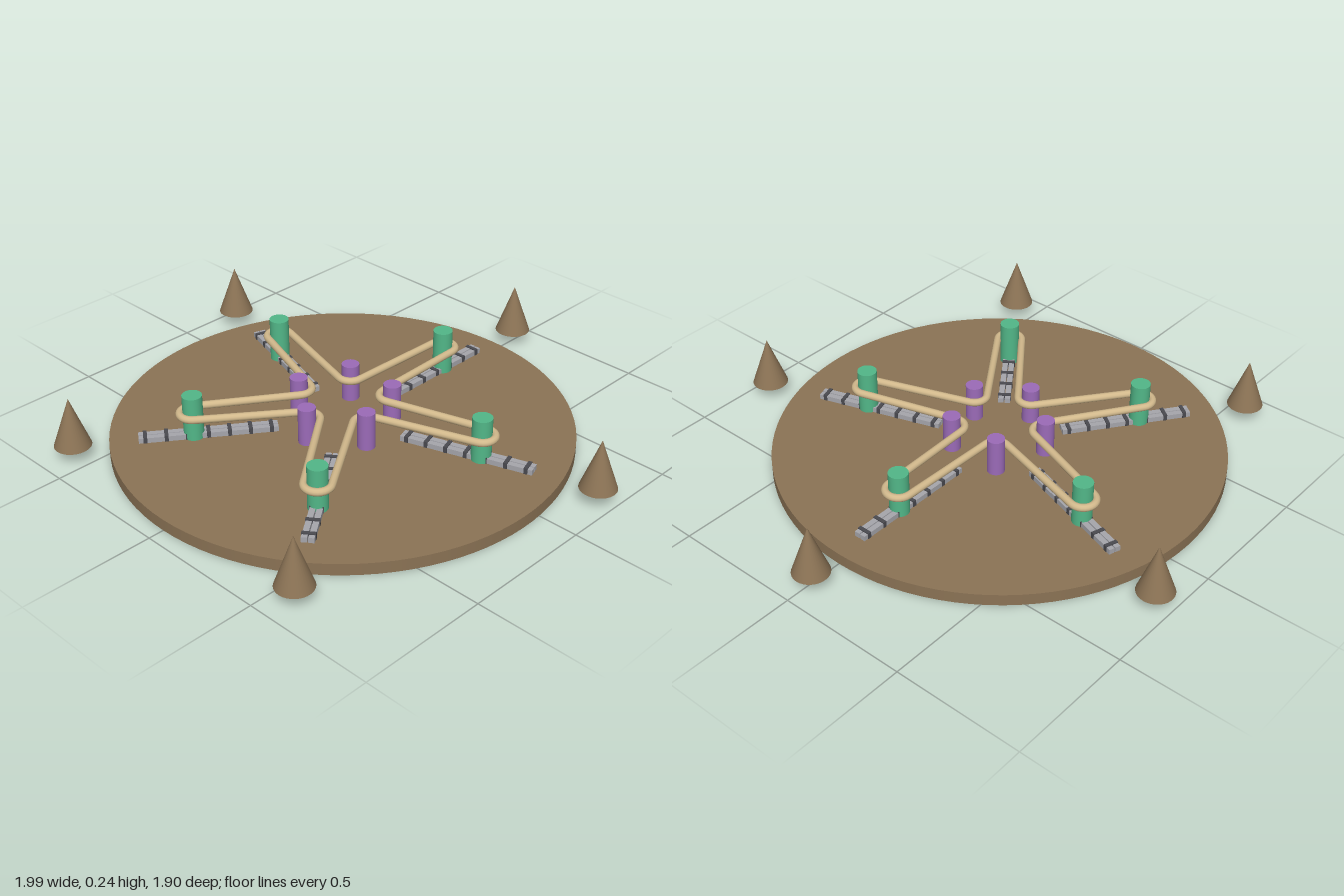
import * as THREE from 'three';

const mat = (name, color) => {
  const m = new THREE.MeshStandardMaterial({ color });
  m.name = name;
  return m;
};

export function createModel() {
  const earth = mat('earth brown', 0x8b7355);
  const green = mat('green', 0x52b788);
  const purple = mat('purple', 0x9b6bb8);
  const tan = mat('rope tan', 0xd2b98c);
  const grey = mat('rail grey', 0xa6a6ac);
  const dark = mat('tie dark grey', 0x4a4a50);

  const model = new THREE.Group();
  model.name = 'starRopeBoard';
  model.position.z = 0.09;

  const add = (parent, name, geometry, material, x, y, z) => {
    const mesh = new THREE.Mesh(geometry, material);
    mesh.name = name;
    mesh.position.set(x, y, z);
    parent.add(mesh);
    return mesh;
  };

  const top = 0.045;
  const armR = 0.545, innerR = 0.182, step = Math.PI * 2 / 5, half = step / 2;

  // Round base
  add(model, 'base', new THREE.CylinderGeometry(0.85, 0.85, top, 96), earth, 0, top / 2, 0);

  const postGeo = new THREE.CylinderGeometry(0.037, 0.037, 0.17, 32);
  const pegGeo = new THREE.CylinderGeometry(0.033, 0.033, 0.143, 32);
  const coneGeo = new THREE.ConeGeometry(0.068, 0.19, 32);
  const railGeo = new THREE.BoxGeometry(0.505, 0.02, 0.021);
  const tieGeo = new THREE.BoxGeometry(0.014, 0.024, 0.05);

  // Five identical arms, each built along local +x
  for (let k = 0; k < 5; k++) {
    const arm = new THREE.Group();
    arm.name = 'arm';
    arm.rotation.y = Math.PI / 2 + k * step;
    model.add(arm);

    add(arm, 'outerPost', postGeo, green, armR, top + 0.085, 0);
    add(arm, 'innerPeg', pegGeo, purple, innerR * Math.cos(half), top + 0.0715, -innerR * Math.sin(half));
    add(arm, 'cone', coneGeo, earth, 0.977, 0.148, 0);

    // Sliding track
    for (const s of [-1, 1]) add(arm, 'rail', railGeo, grey, 0.4925, top + 0.01, s * 0.0125);
    for (let i = 0; i < 7; i++) add(arm, 'tie', tieGeo, dark, 0.265 + i * 0.076, top + 0.012, 0);
  }

  // Rope: outside the posts, inside the pegs, joined by their common tangents
  const r = 0.048;
  const px = innerR * Math.cos(half), py = innerR * Math.sin(half);
  const dx = px - armR;
  const tangent = Math.atan2(py, dx) - Math.acos(2 * r / Math.hypot(dx, py));
  const points = [];
  for (let k = 0; k < 5; k++) {
    const turn = Math.PI / 2 + k * step;
    const local = [];
    const arc = (cx, cy, from, to, n) => {
      for (let i = 0; i <= n; i++) {
        const a = from + (to - from) * i / n;
        local.push([cx + r * Math.cos(a), cy + r * Math.sin(a)]);
      }
    };
    arc(armR, 0, -tangent, tangent, 14);
    // Straight run to the next peg
    const [ax, ay] = local[local.length - 1];
    const bx = px - r * Math.cos(tangent), by = py - r * Math.sin(tangent);
    for (let i = 1; i < 10; i++) local.push([ax + (bx - ax) * i / 10, ay + (by - ay) * i / 10]);
    arc(px, py, tangent + Math.PI, 2 * half + Math.PI - tangent, 10);
    // Straight run out to the next post
    const [cx, cy] = local[local.length - 1];
    const ex = armR * Math.cos(step) + r * Math.cos(step - tangent);
    const ey = armR * Math.sin(step) + r * Math.sin(step - tangent);
    for (let i = 1; i < 10; i++) local.push([cx + (ex - cx) * i / 10, cy + (ey - cy) * i / 10]);

    for (const [u, v] of local) {
      points.push(new THREE.Vector3(
        u * Math.cos(turn) - v * Math.sin(turn), 0,
        -(u * Math.sin(turn) + v * Math.cos(turn))));
    }
  }
  const path = new THREE.CatmullRomCurve3(points, true);
  path.arcLengthDivisions = 2000;
  add(model, 'rope', new THREE.TubeGeometry(path, 500, 0.0145, 12, true), tan, 0, 0.14, 0);

  const group = new THREE.Group();
  group.add(model);
  return group;
}
